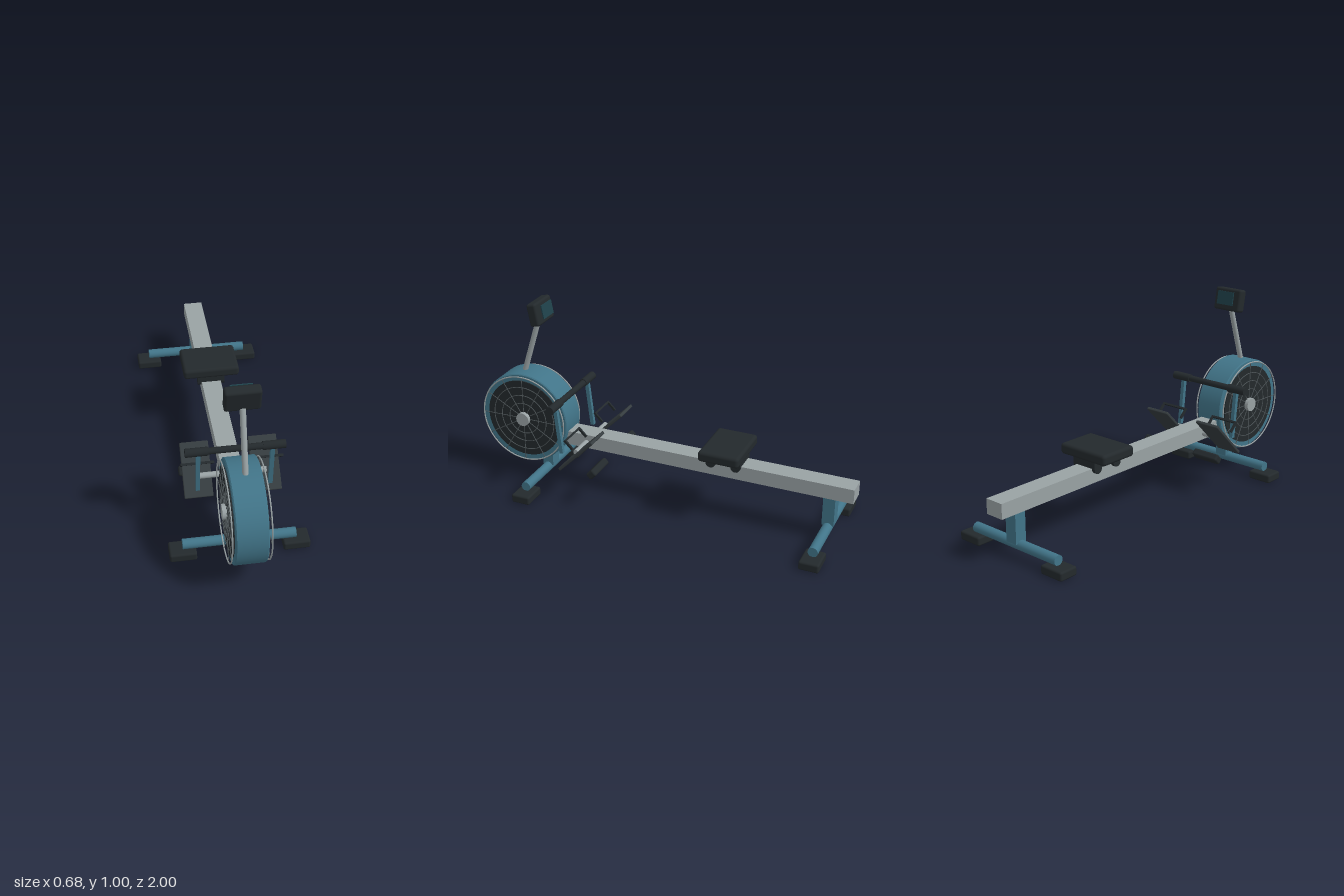
import * as THREE from 'three';
import { RoundedBoxGeometry } from 'three/addons/geometries/RoundedBoxGeometry.js';

const mat = (color) => new THREE.MeshStandardMaterial({ color });
const blue = mat(0x417488), dark = mat(0x23292c), plateGrey = mat(0x353c3f);
const metal = mat(0x99a2a4), wire = mat(0x50585b), glass = mat(0x1f424b);

function add(parent, name, geometry, material, x = 0, y = 0, z = 0) {
  const mesh = new THREE.Mesh(geometry, material);
  mesh.name = name;
  mesh.position.set(x, y, z);
  parent.add(mesh);
  return mesh;
}
const box = (w, h, d) => new THREE.BoxGeometry(w, h, d);
const soft = (w, h, d, r = 0.01) => new RoundedBoxGeometry(w, h, d, 3, r);

// Round bar between two points
function rod(parent, name, a, b, r, material, sides = 24) {
  const p = new THREE.Vector3(...a), q = new THREE.Vector3(...b);
  const mesh = add(parent, name, new THREE.CylinderGeometry(r, r, p.distanceTo(q), sides), material);
  mesh.position.copy(p).add(q).multiplyScalar(0.5);
  mesh.quaternion.setFromUnitVectors(new THREE.Vector3(0, 1, 0), q.sub(p).normalize());
  return mesh;
}

function part(parent, name, x, y, z) {
  const g = new THREE.Group();
  g.name = name;
  g.position.set(x, y, z);
  parent.add(g);
  return g;
}

function addFlywheel(model) {
  const g = part(model, 'flywheel', 0, 0.355, 0.755);
  // Drum with slightly bevelled rims
  const profile = [[0, -0.075], [0.24, -0.075], [0.24, -0.075], [0.245, -0.07], [0.245, -0.07],
    [0.245, 0.07], [0.245, 0.07], [0.24, 0.075], [0.24, 0.075], [0, 0.075]].map((p) => new THREE.Vector2(...p));
  add(g, 'drum', new THREE.LatheGeometry(profile, 64), blue).rotation.z = Math.PI / 2;
  for (const s of [-1, 1]) {
    rod(g, 'ventDisc', [s * 0.07, 0, 0], [s * 0.081, 0, 0], 0.21, dark, 64);
    // Wire cage: rings and spokes
    [0.235, 0.175, 0.13, 0.085].forEach((r, i) => {
      const ring = new THREE.TorusGeometry(r, i ? 0.002 : 0.0035, 8, 64);
      add(g, 'guardRing', ring, i ? wire : metal, s * (i ? 0.083 : 0.089)).rotation.y = Math.PI / 2;
    });
    for (let i = 0; i < 12; i++) {
      const a = (i * Math.PI) / 6, c = Math.cos(a), d = Math.sin(a);
      rod(g, 'guardSpoke', [s * 0.083, 0.03 * c, 0.03 * d], [s * 0.087, 0.233 * c, 0.233 * d], 0.002, wire, 6);
    }
    rod(g, 'hub', [s * 0.075, 0, 0], [s * 0.102, 0, 0], 0.036, metal, 32);
  }
}

// Post, cross bar and two rubber feet
function addStand(model, name, z, postTop) {
  const g = part(model, name, 0, 0, z);
  add(g, 'post', box(0.065, postTop - 0.08, 0.06), blue, 0, (postTop + 0.08) / 2, 0);
  rod(g, 'crossBar', [-0.273, 0.07, 0], [0.273, 0.07, 0], 0.025, blue);
  for (const s of [-1, 1]) add(g, 'foot', soft(0.13, 0.045, 0.1), dark, s * 0.273, 0.0245, 0);
}

function addSeat(model) {
  const g = part(model, 'seat', 0, 0, -0.345);
  add(g, 'cushion', soft(0.29, 0.055, 0.21, 0.016), dark, 0, 0.376, 0);
  add(g, 'carriage', box(0.14, 0.036, 0.18), dark, 0, 0.333, 0);
  for (const s of [-1, 1]) for (const z of [-0.065, 0.065]) {
    rod(g, 'roller', [s * 0.052, 0.312, z], [s * 0.07, 0.312, z], 0.025, dark);
  }
}

function addMonitor(model) {
  rod(model, 'monitorArm', [0, 0.54, 0.797], [0, 0.89, 0.685], 0.014, metal);
  const g = part(model, 'monitor', 0, 0.937, 0.673);
  g.rotation.x = 0.19;
  add(g, 'housing', soft(0.164, 0.118, 0.052, 0.012), dark);
  add(g, 'screen', box(0.1, 0.07, 0.006), glass, 0, 0.006, -0.041);
}

function addHandle(model) {
  const g = part(model, 'handle', 0, 0.513, 0.513);
  rod(g, 'handleBar', [-0.225, 0, 0], [0.225, 0, 0], 0.016, dark);
  for (const s of [-1, 1]) {
    rod(g, 'grip', [s * 0.128, 0, 0], [s * 0.236, 0, 0], 0.021, dark);
    const up = add(g, 'handleSupport', box(0.02, 0.245, 0.02), blue, s * 0.175, -0.135, -0.013);
    up.rotation.x = 0.11;
  }
}

function addFootrest(model, s) {
  rod(model, 'footrestAxle', [s * 0.04, 0.27, 0.41], [s * 0.17, 0.27, 0.41], 0.015, metal);
  const g = part(model, s > 0 ? 'leftFootrest' : 'rightFootrest', s * 0.167, 0.285, 0.38);
  g.rotation.x = Math.PI / 4;
  add(g, 'footPlate', soft(0.14, 0.016, 0.27, 0.005), plateGrey);
  add(g, 'heelRest', soft(0.155, 0.038, 0.05), dark, 0, -0.121, -0.006);
  // Square strap loop over the plate
  add(g, 'strapTop', box(0.16, 0.01, 0.012), dark, 0, 0.093, -0.024);
  for (const x of [-0.075, 0.075]) add(g, 'strapSide', box(0.01, 0.06, 0.012), dark, x, 0.066, -0.024);
}

export function createModel() {
  const model = new THREE.Group();
  model.name = 'rowingMachine';
  add(model, 'rail', box(0.1, 0.075, 1.56), metal, 0, 0.276, -0.22);
  addFlywheel(model);
  addStand(model, 'frontStand', 0.653, 0.2);
  addStand(model, 'rearStand', -0.878, 0.245);
  addSeat(model);
  addMonitor(model);
  addHandle(model);
  for (const s of [-1, 1]) addFootrest(model, s);
  return model;
}
